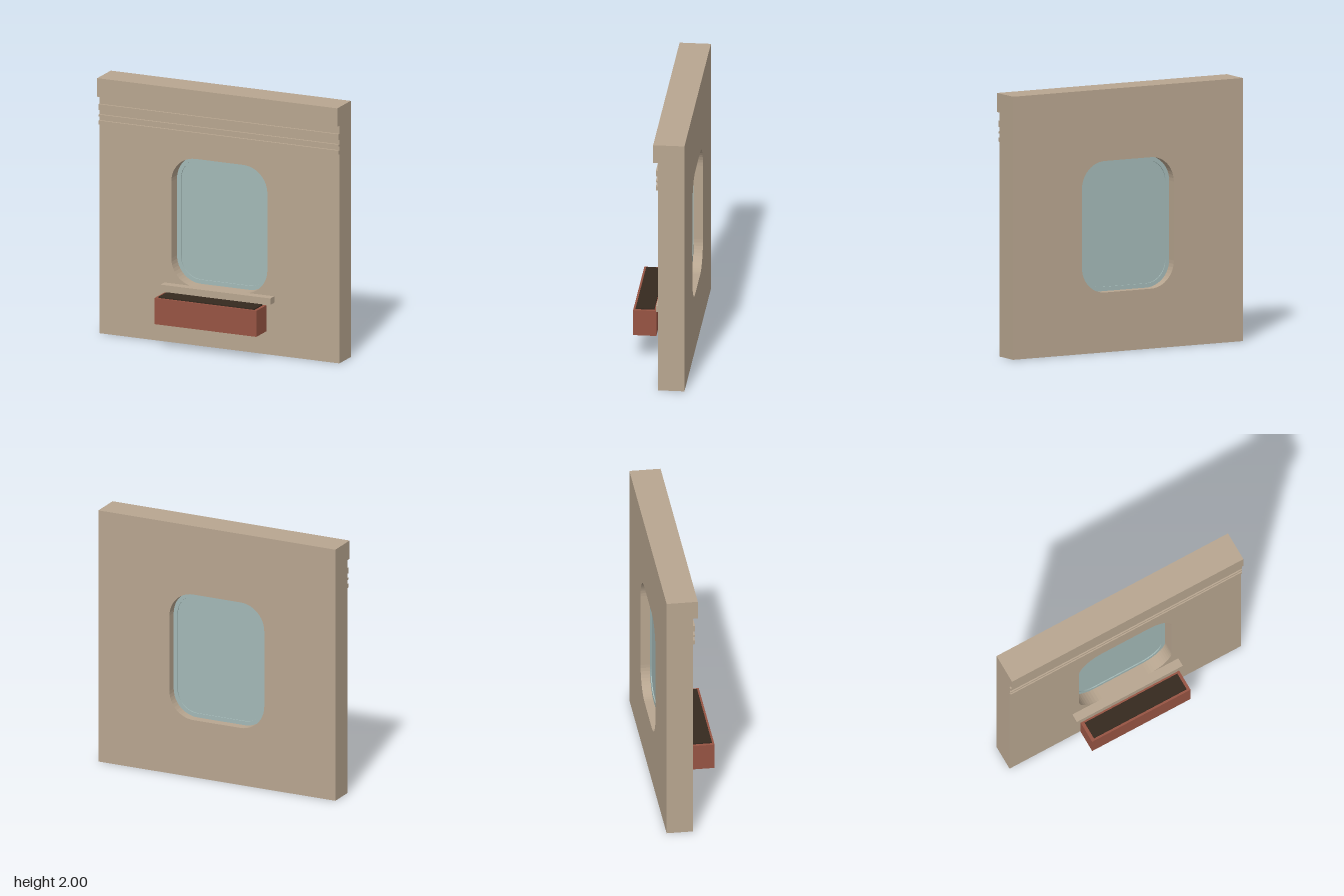
import * as THREE from 'three';

export function createModel() {
  const model = new THREE.Group();
  model.name = 'windowWall';
  const material = (name, color) => {
    const m = new THREE.MeshStandardMaterial({ color });
    m.name = name;
    return m;
  };
  const stone = material('sandstone', 0xb8a690);
  const glass = material('paleGlass', 0xa3b9b7);
  const brick = material('terracotta', 0x975443);
  const earth = material('darkSoil', 0x35291f);

  const add = (name, geometry, mat) => {
    const mesh = new THREE.Mesh(geometry, mat);
    mesh.name = name;
    model.add(mesh);
    return mesh;
  };
  // Box given by half width and its y and z limits
  const block = (name, mat, hw, y0, y1, z0, z1) =>
    add(name, new THREE.BoxGeometry(hw * 2, y1 - y0, z1 - z0), mat)
      .position.set(0, (y0 + y1) / 2, (z0 + z1) / 2);

  // Rounded window outline, shrunk by an inset
  const outline = (target, inset) => {
    const w = 0.4 - inset, y0 = 0.455 + inset, y1 = 1.455 - inset, r = 0.2 - inset;
    target.moveTo(w, y0 + r);
    target.absarc(w - r, y1 - r, r, 0, Math.PI / 2);
    target.absarc(-w + r, y1 - r, r, Math.PI / 2, Math.PI);
    target.absarc(-w + r, y0 + r, r, Math.PI, Math.PI * 1.5);
    target.absarc(w - r, y0 + r, r, Math.PI * 1.5, Math.PI * 2);
    return target;
  };
  const slab = (name, mat, shape, z0, z1) => {
    const geometry = new THREE.ExtrudeGeometry(shape, {
      depth: z1 - z0, bevelEnabled: false, curveSegments: 6,
    });
    add(name, geometry, mat).position.z = z0;
  };

  // Wall with the window opening
  const wall = new THREE.Shape([[-1, 0], [1, 0], [1, 2], [-1, 2]].map(p => new THREE.Vector2(...p)));
  wall.holes.push(outline(new THREE.Path(), 0));
  slab('wall', stone, wall, -0.223, -0.023);

  // Window: proud rim around a slightly recessed pane
  const rim = outline(new THREE.Shape(), 0);
  rim.holes.push(outline(new THREE.Path(), 0.032));
  slab('windowRim', glass, rim, -0.153, -0.123);
  slab('windowPane', glass, outline(new THREE.Shape(), 0.032), -0.145, -0.131);

  // Cornice and the mouldings beneath it
  block('cornice', stone, 1, 1.855, 2, -0.023, 0.014);
  [[1.745, 1.792], [1.695, 1.711], [1.632, 1.664]].forEach(([y0, y1], i) =>
    block(`moulding${i + 1}`, stone, 1, y0, y1, -0.023, -0.007));

  // Sill and planter
  block('sill', stone, 0.458, 0.41, 0.46, -0.023, 0.046);
  block('planter', brick, 0.425, 0.2, 0.403, 0.047, 0.223);
  block('soil', earth, 0.4, 0.403, 0.412, 0.064, 0.206);

  return model;
}
